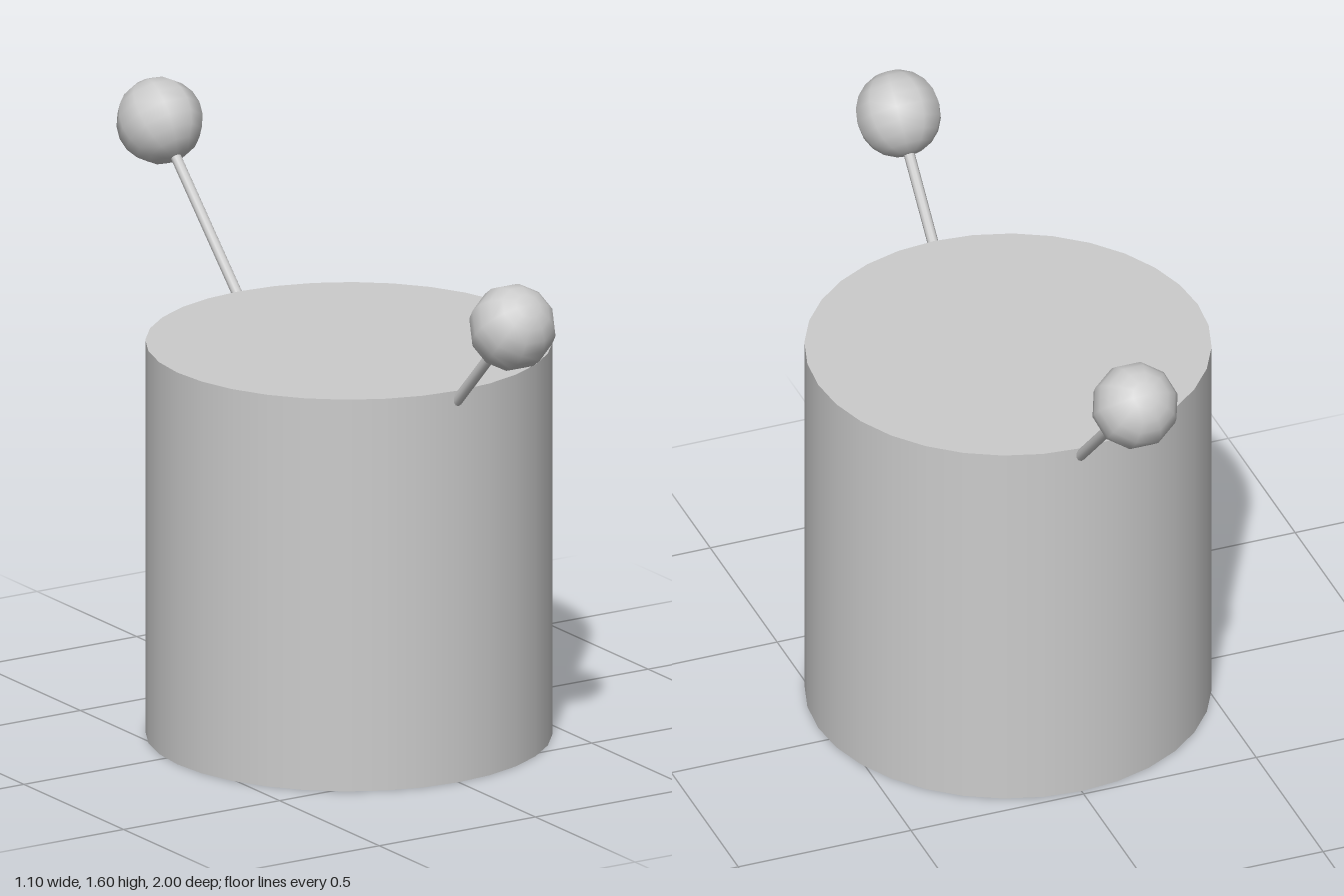
import * as THREE from 'three';

const material = new THREE.MeshStandardMaterial({ color: 0xcccccc });
const BODY = { radius: 0.55, height: 1.105, z: 0.065 };
const BALL_RADIUS = 0.119;
const ROD_RADIUS = 0.015;

function part(name, geometry) {
  const mesh = new THREE.Mesh(geometry, material);
  mesh.name = name;
  return mesh;
}

// Rod leaning outwards at 45 degrees with a ball on its end; side is +1 front, -1 back
function antenna(name, side, ballY, ballZ) {
  const group = new THREE.Group();
  group.name = name;
  group.position.set(0, ballY, ballZ);
  group.rotation.x = side * Math.PI / 4;

  const ball = part('ball', new THREE.SphereGeometry(BALL_RADIUS, 10, 10));

  // Rod runs from the ball centre to just inside the body wall
  const reach = Math.abs(ballZ - (BODY.z + side * BODY.radius));
  const length = reach * Math.SQRT2 + 0.06;
  const rod = part('rod', new THREE.CylinderGeometry(ROD_RADIUS, ROD_RADIUS, length, 10));
  rod.position.y = -length / 2;

  group.add(ball, rod);
  return group;
}

export function createModel() {
  const model = new THREE.Group();
  model.name = 'drumWithAntennas';

  // Plain closed drum
  const body = part('body', new THREE.CylinderGeometry(BODY.radius, BODY.radius, BODY.height, 32));
  body.position.set(0, BODY.height / 2, BODY.z);

  model.add(
    body,
    antenna('frontAntenna', 1, 1.352, 0.885),
    antenna('backAntenna', -1, 1.485, -0.885),
  );
  return model;
}
